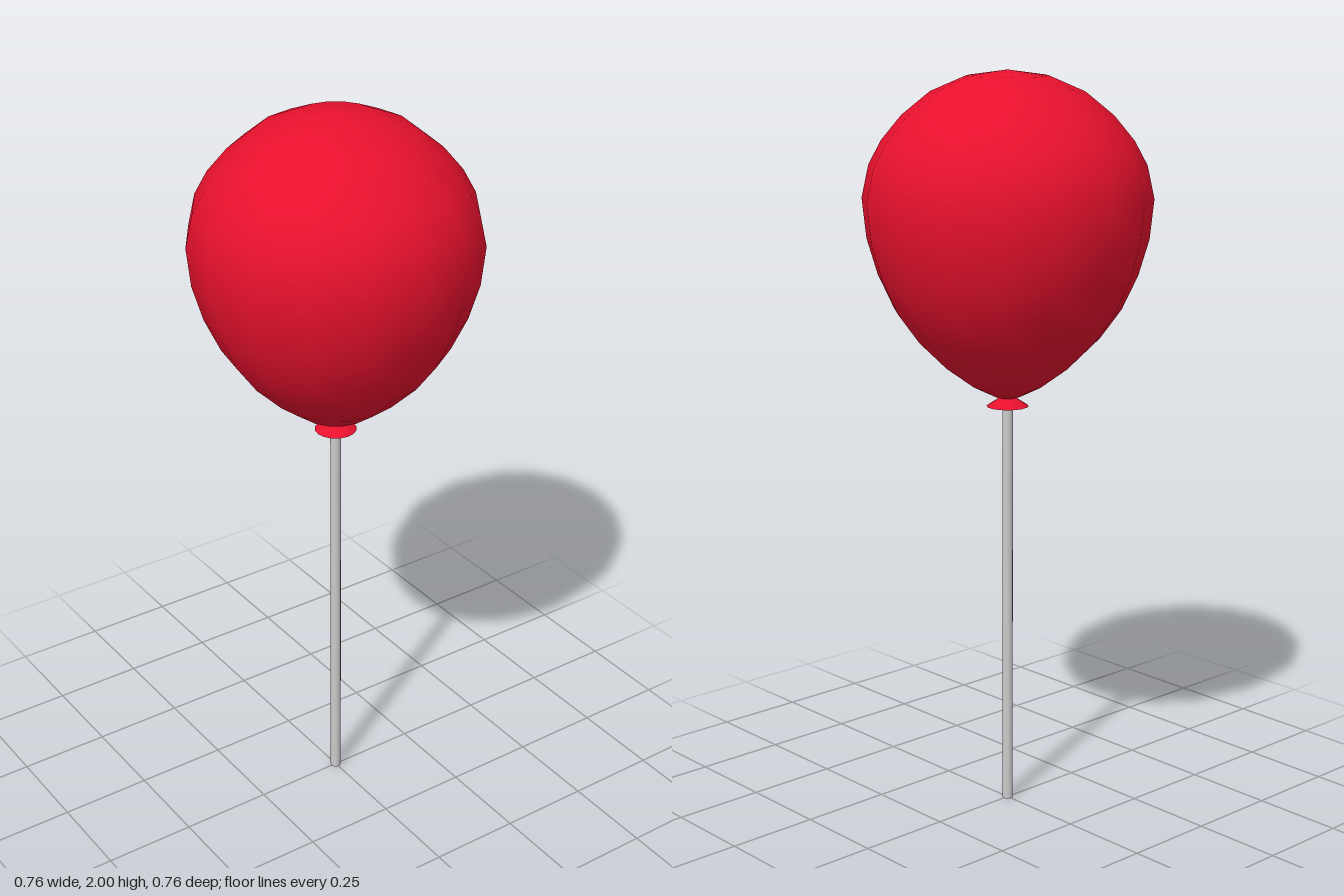
import * as THREE from 'three';

const red = new THREE.MeshStandardMaterial({ color: 0xe8112d });
const redThin = new THREE.MeshStandardMaterial({ color: 0xe8112d, side: THREE.DoubleSide });
const grey = new THREE.MeshStandardMaterial({ color: 0xcccccc });

function lathe(name, profile, segments, material) {
  const points = profile.map(([r, y]) => new THREE.Vector2(r, y));
  const mesh = new THREE.Mesh(new THREE.LatheGeometry(points, segments), material);
  mesh.name = name;
  return mesh;
}

export function createModel() {
  const group = new THREE.Group();
  group.name = 'balloonOnStick';

  // Teardrop body, narrow at the neck and round on top
  group.add(lathe('balloonBody', [
    [0, 1.135], [0.035, 1.145], [0.095, 1.175], [0.17, 1.23], [0.244, 1.303],
    [0.3, 1.38], [0.342, 1.47], [0.37, 1.565], [0.381, 1.67], [0.362, 1.757],
    [0.328, 1.82], [0.275, 1.884], [0.2, 1.945], [0.107, 1.985], [0, 2],
  ], 16, red));

  // Flared, open lip below the neck
  group.add(lathe('balloonLip', [[0.056, 1.118], [0.015, 1.145]], 16, redThin));

  // Straight stick, capped at both ends
  const stick = new THREE.Mesh(new THREE.CylinderGeometry(0.0145, 0.0145, 1.14, 12), grey);
  stick.name = 'stick';
  stick.position.y = 0.57;
  group.add(stick);

  return group;
}
